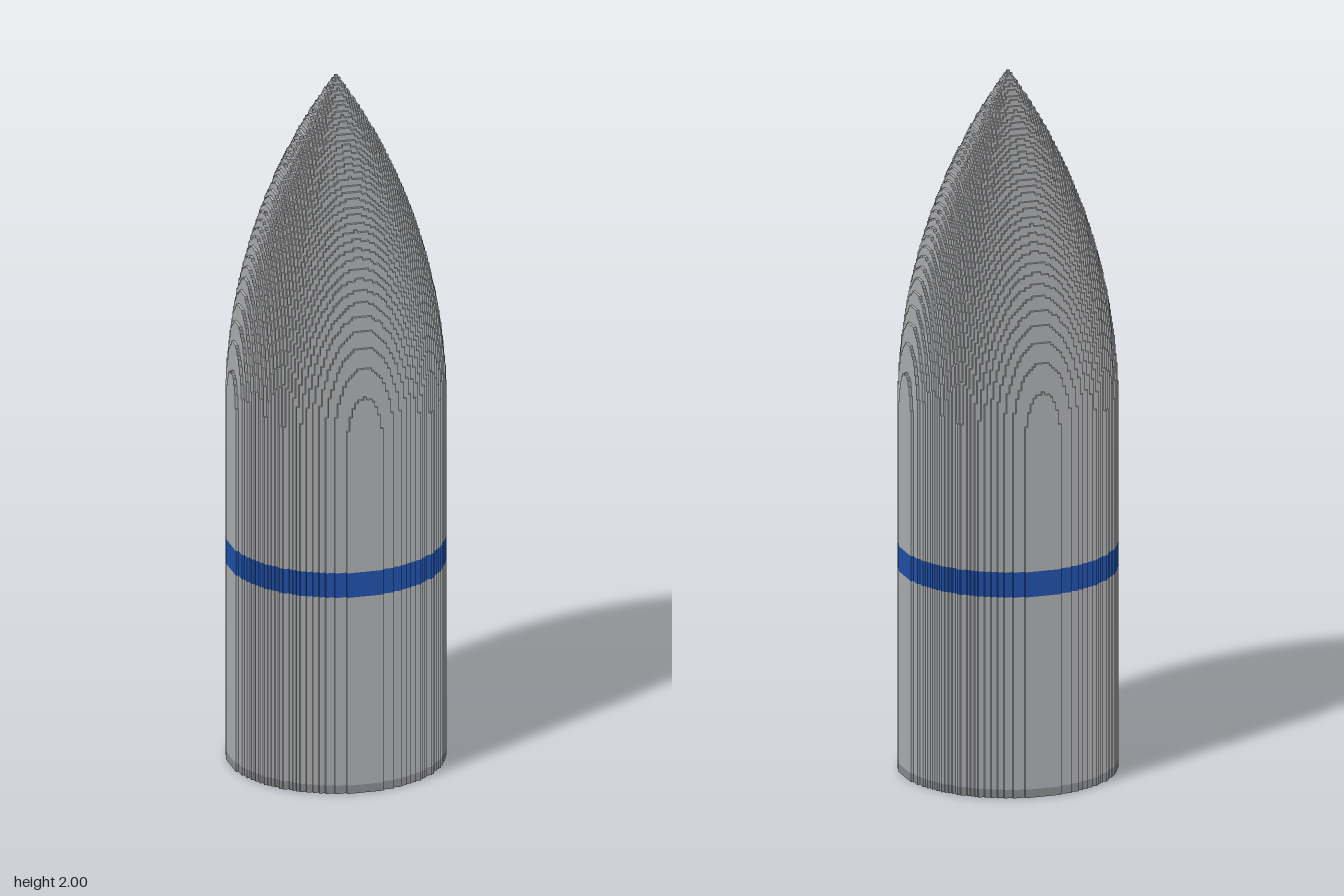
import * as THREE from 'three';

const V = 0.008;          // edge of one cube
const R = 37.5;           // body radius in cubes
const SHOULDER = 130;     // layer where the nose begins
const NOSE = 120;         // nose length in layers
const RHO = (R * R + NOSE * NOSE) / (2 * R); // arc radius of the pointed nose

const grey = new THREE.MeshStandardMaterial({ color: 0xacadaf });
grey.name = 'bodyGrey';
const blue = new THREE.MeshStandardMaterial({ color: 0x2050a8 });
blue.name = 'bandBlue';
const dark = new THREE.MeshStandardMaterial({ color: 0x8a8b8e });
dark.name = 'baseGrey';

// Number of stacked cubes in the column at grid cell (i, k)
function columnHeight(i, k) {
  const d = Math.hypot(i, k);
  if (d > R) return 0;
  const c = d + RHO - R;
  return SHOULDER + Math.round(Math.sqrt(Math.max(0, RHO * RHO - c * c)));
}

// Outer faces of the stepped solid between layers y0 and y1
function steppedPart(name, material, y0, y1, { top = false, bottom = false } = {}) {
  const pos = [], nor = [], idx = [];
  const quad = (corners, normal) => {
    const n = pos.length / 3;
    for (const [x, y, z] of corners) {
      pos.push(x * V, y * V, z * V);
      nor.push(...normal);
    }
    idx.push(n, n + 1, n + 2, n, n + 2, n + 3);
  };
  const N = Math.floor(R);
  for (let i = -N; i <= N; i++) {
    for (let k = -N; k <= N; k++) {
      const h = columnHeight(i, k);
      if (!h) continue;
      const b = Math.min(y1, h);
      // Walls facing each lower neighbour
      for (const [dx, dz] of [[1, 0], [-1, 0], [0, 1], [0, -1]]) {
        const a = Math.max(y0, columnHeight(i + dx, k + dz));
        if (a >= b) continue;
        const cx = i + dx / 2, cz = k + dz / 2;
        const tx = dz / 2, tz = -dx / 2;
        quad([
          [cx - tx, a, cz - tz], [cx + tx, a, cz + tz],
          [cx + tx, b, cz + tz], [cx - tx, b, cz - tz],
        ], [dx, 0, dz]);
      }
      const l = i - 0.5, r = i + 0.5, f = k + 0.5, q = k - 0.5;
      if (top) quad([[l, h, f], [r, h, f], [r, h, q], [l, h, q]], [0, 1, 0]);
      if (bottom) quad([[l, y0, q], [r, y0, q], [r, y0, f], [l, y0, f]], [0, -1, 0]);
    }
  }
  const g = new THREE.BufferGeometry();
  g.setAttribute('position', new THREE.Float32BufferAttribute(pos, 3));
  g.setAttribute('normal', new THREE.Float32BufferAttribute(nor, 3));
  g.setIndex(idx);
  const mesh = new THREE.Mesh(g, material);
  mesh.name = name;
  return mesh;
}

export function createModel() {
  const group = new THREE.Group();
  group.name = 'pointedCylinder';
  group.add(
    steppedPart('baseRim', dark, 0, 3, { bottom: true }),
    steppedPart('lowerBody', grey, 3, 72),
    steppedPart('colourBand', blue, 72, 81),
    steppedPart('upperBodyAndNose', grey, 81, SHOULDER + NOSE, { top: true }),
  );
  return group;
}
